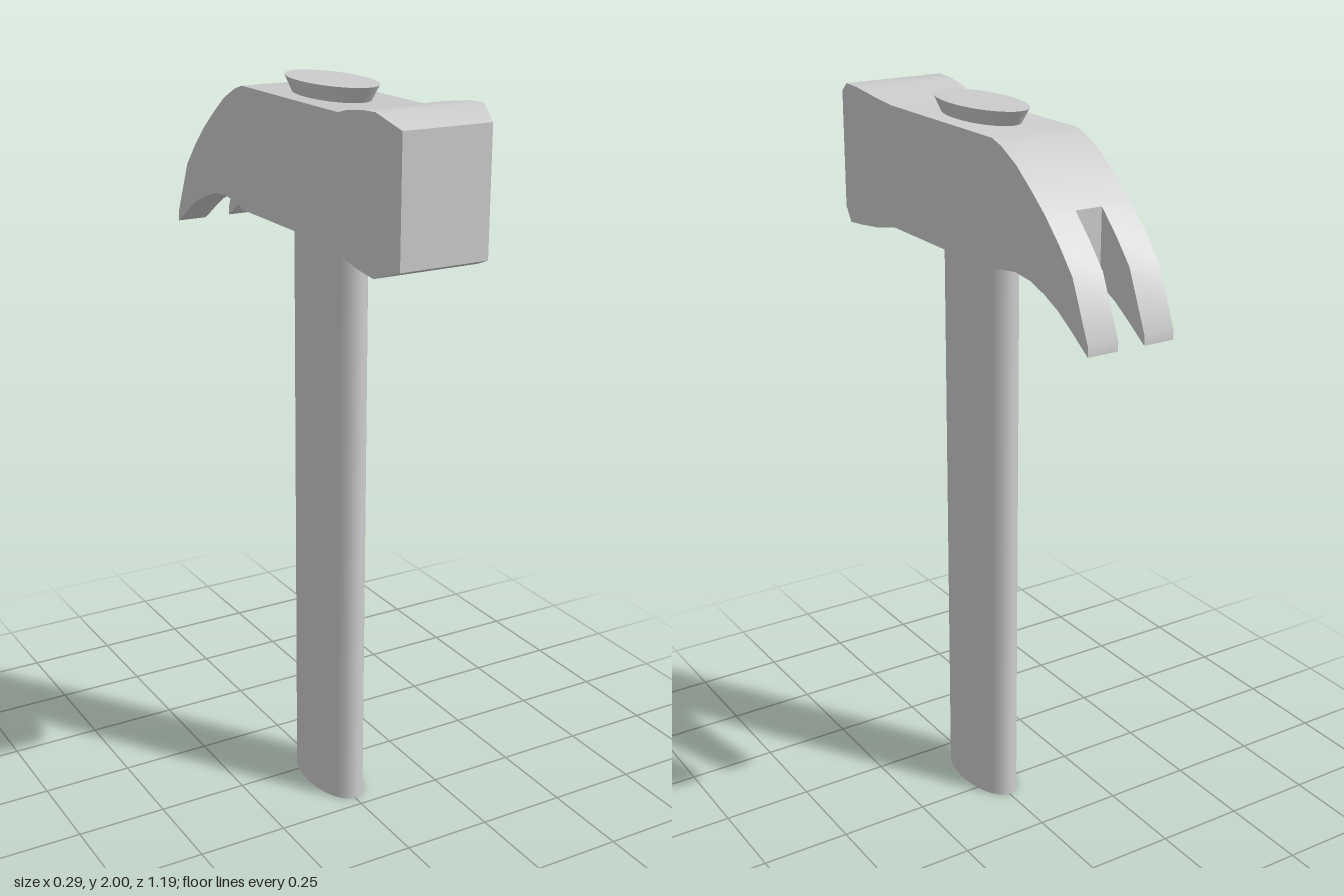
import * as THREE from 'three';
import { toCreasedNormals } from 'three/addons/utils/BufferGeometryUtils.js';

const material = new THREE.MeshStandardMaterial({ color: 0xcccccc });

// Head cross-sections from striking face to claw tips: [z, top, bottom, half width]
const BODY = [
  [0.595, 1.957, 1.634, 0.122], [0.52, 1.99, 1.607, 0.147], [0.46, 1.987, 1.612, 0.146],
  [0.38, 1.975, 1.621, 0.141], [0.315, 1.96, 1.633, 0.124], [-0.18, 1.96, 1.633, 0.124],
  [-0.22, 1.948, 1.645, 0.124], [-0.286, 1.915, 1.654, 0.124], [-0.35, 1.868, 1.648, 0.124],
  [-0.41, 1.82, 1.63, 0.124],
];
const CLAW = [
  BODY[BODY.length - 1], [-0.47, 1.762, 1.604, 0.124], [-0.525, 1.7, 1.57, 0.124], [-0.592, 1.55, 1.525, 0.124],
];
const SLOT = 0.038;

function headGeometry() {
  const pos = [];
  const quad = (a, b, c, d) => pos.push(...a, ...b, ...c, ...a, ...c, ...d);
  // Upright face across x0..x1 at one cross-section
  const cap = ([z, top, bottom], x0, x1, front) => {
    const p = [[x0, bottom, z], [x1, bottom, z], [x1, top, z], [x0, top, z]];
    quad(...(front ? p : p.reverse()));
  };
  // Four-sided tube through the sections; span gives its x limits from the half width
  const tube = (sections, span) => {
    for (let i = 0; i < sections.length - 1; i++) {
      const ring = ([z, top, bottom, w]) => {
        const [x0, x1] = span(w);
        return [[x0, bottom, z], [x1, bottom, z], [x1, top, z], [x0, top, z]];
      };
      const a = ring(sections[i]), b = ring(sections[i + 1]);
      for (let k = 0; k < 4; k++) {
        const n = (k + 1) % 4;
        quad(a[k], b[k], b[n], a[n]);
      }
    }
  };

  tube(BODY, (w) => [-w, w]);
  cap(BODY[0], -BODY[0][3], BODY[0][3], true);
  cap(CLAW[0], -SLOT, SLOT, false);

  // Two claw prongs
  const tip = CLAW[CLAW.length - 1];
  tube(CLAW, (w) => [SLOT, w]);
  tube(CLAW, (w) => [-w, -SLOT]);
  cap(tip, SLOT, tip[3], false);
  cap(tip, -tip[3], -SLOT, false);

  const g = new THREE.BufferGeometry();
  g.setAttribute('position', new THREE.Float32BufferAttribute(pos, 3));
  return toCreasedNormals(g, 0.7);
}

// Oval column, half as wide in x as it is deep in z
function ovalColumn(name, rTop, rBottom, y0, y1) {
  const g = new THREE.CylinderGeometry(rTop, rBottom, y1 - y0, 40);
  g.scale(0.48, 1, 1);
  const mesh = new THREE.Mesh(g, material);
  mesh.name = name;
  mesh.position.set(0, (y0 + y1) / 2, 0.069);
  return mesh;
}

export function createModel() {
  const group = new THREE.Group();
  group.name = 'clawHammer';

  const head = new THREE.Mesh(headGeometry(), material);
  head.name = 'head';

  group.add(
    head,
    ovalColumn('handle', 0.147, 0.147, 0, 1.7),
    ovalColumn('handleEnd', 0.184, 0.147, 1.95, 2), // flared end above the head
  );
  return group;
}
